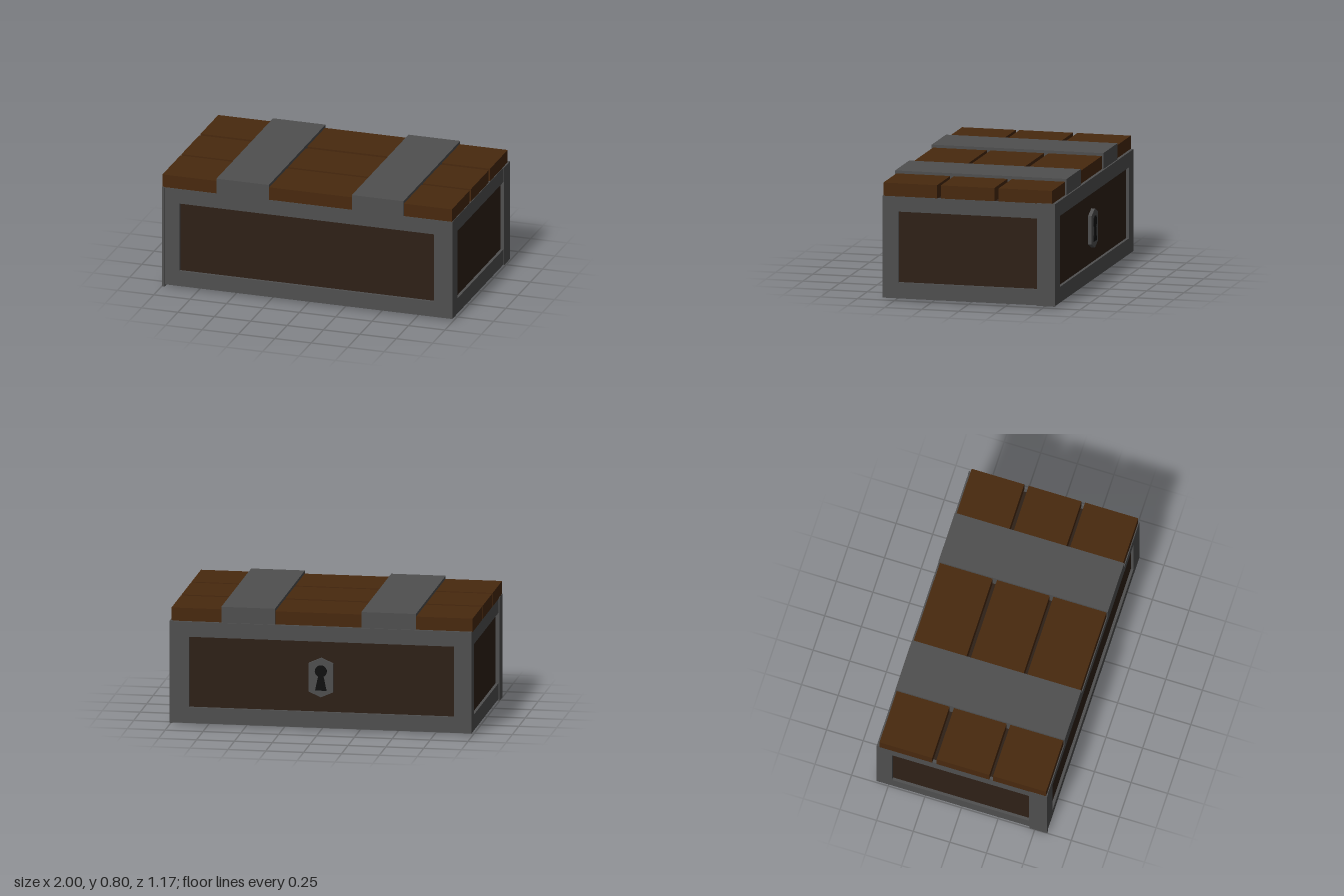
import * as THREE from 'three';

const metal = new THREE.MeshStandardMaterial({ color: 0x4f4f4f });
const plankWood = new THREE.MeshStandardMaterial({ color: 0x48290e });
const panelWood = new THREE.MeshStandardMaterial({ color: 0x2e2017 });
const dark = new THREE.MeshStandardMaterial({ color: 0x101010 });

function add(parent, name, geometry, material) {
  const mesh = new THREE.Mesh(geometry, material);
  mesh.name = name;
  parent.add(mesh);
  return mesh;
}

// Box given by its lower and upper limits on each axis
function box(parent, name, material, [x0, x1], [y0, y1], [z0, z1]) {
  const mesh = add(parent, name, new THREE.BoxGeometry(x1 - x0, y1 - y0, z1 - z0), material);
  mesh.position.set((x0 + x1) / 2, (y0 + y1) / 2, (z0 + z1) / 2);
  return mesh;
}

function polygon(points) {
  return new THREE.Shape(points.map(([x, y]) => new THREE.Vector2(x, y)));
}

function extrude(shape, depth) {
  return new THREE.ExtrudeGeometry(shape, { depth, bevelEnabled: false, curveSegments: 8 });
}

// Rectangular metal frame with a window, facing +z
function frameGeometry(halfWidth, windowLeft, windowRight, depth) {
  const rect = (l, r, b, t) => [[l, b], [r, b], [r, t], [l, t]];
  const shape = polygon(rect(-halfWidth, halfWidth, 0.015, 0.69));
  shape.holes.push(polygon(rect(windowLeft, windowRight, 0.12, 0.59)));
  return extrude(shape, depth);
}

export function createModel() {
  const chest = new THREE.Group();
  chest.name = 'chest';

  // Wooden body
  box(chest, 'body', panelWood, [-0.975, 0.975], [0.02, 0.685], [-0.56, 0.565]);

  // Metal frames on the four sides
  add(chest, 'frontFrame', frameGeometry(0.995, -0.88, 0.87, 0.02), metal).position.z = 0.563;
  const back = add(chest, 'backFrame', frameGeometry(0.995, -0.87, 0.88, 0.02), metal);
  back.rotation.y = Math.PI;
  back.position.z = -0.56;
  for (const side of [1, -1]) {
    const frame = add(chest, side > 0 ? 'leftFrame' : 'rightFrame',
      frameGeometry(0.575, -0.475, 0.46, 0.02), metal);
    frame.rotation.y = side * Math.PI / 2;
    frame.position.x = side * 0.974;
  }

  // Overlapping corner strips on two opposite corners
  box(chest, 'backCornerStrip', metal, [0.98, 1], [0.012, 0.692], [-0.581, -0.46]);
  box(chest, 'frontCornerStrip', metal, [-1, -0.98], [0, 0.692], [0.465, 0.585]);

  // Lid planks
  for (const z of [[-0.56, -0.2], [-0.17, 0.19], [0.215, 0.577]]) {
    box(chest, 'lidPlank', plankWood, [-0.998, 0.99], [0.687, 0.777], z);
  }

  // Metal straps across the lid
  for (const x of [[-0.625, -0.265], [0.305, 0.66]]) {
    box(chest, 'lidStrap', metal, x, [0.687, 0.796], [-0.57, 0.586]);
  }

  // Lock plate and keyhole on the back
  const lock = new THREE.Group();
  lock.name = 'lock';
  lock.position.set(0, 0.35, -0.56);
  lock.rotation.y = Math.PI;
  chest.add(lock);
  const plate = polygon([[0, -0.13], [0.08, -0.095], [0.08, 0.095], [0, 0.13], [-0.08, 0.095], [-0.08, -0.095]]);
  add(lock, 'lockPlate', extrude(plate, 0.024), metal);
  const keyhole = new THREE.Shape();
  keyhole.moveTo(-0.038, -0.085);
  keyhole.lineTo(0.038, -0.085);
  keyhole.lineTo(0.018, 0.01);
  keyhole.absarc(0, 0.044, 0.04, -1.1, Math.PI + 1.1, false);
  keyhole.closePath();
  add(lock, 'keyhole', extrude(keyhole, 0.028), dark);

  return chest;
}
